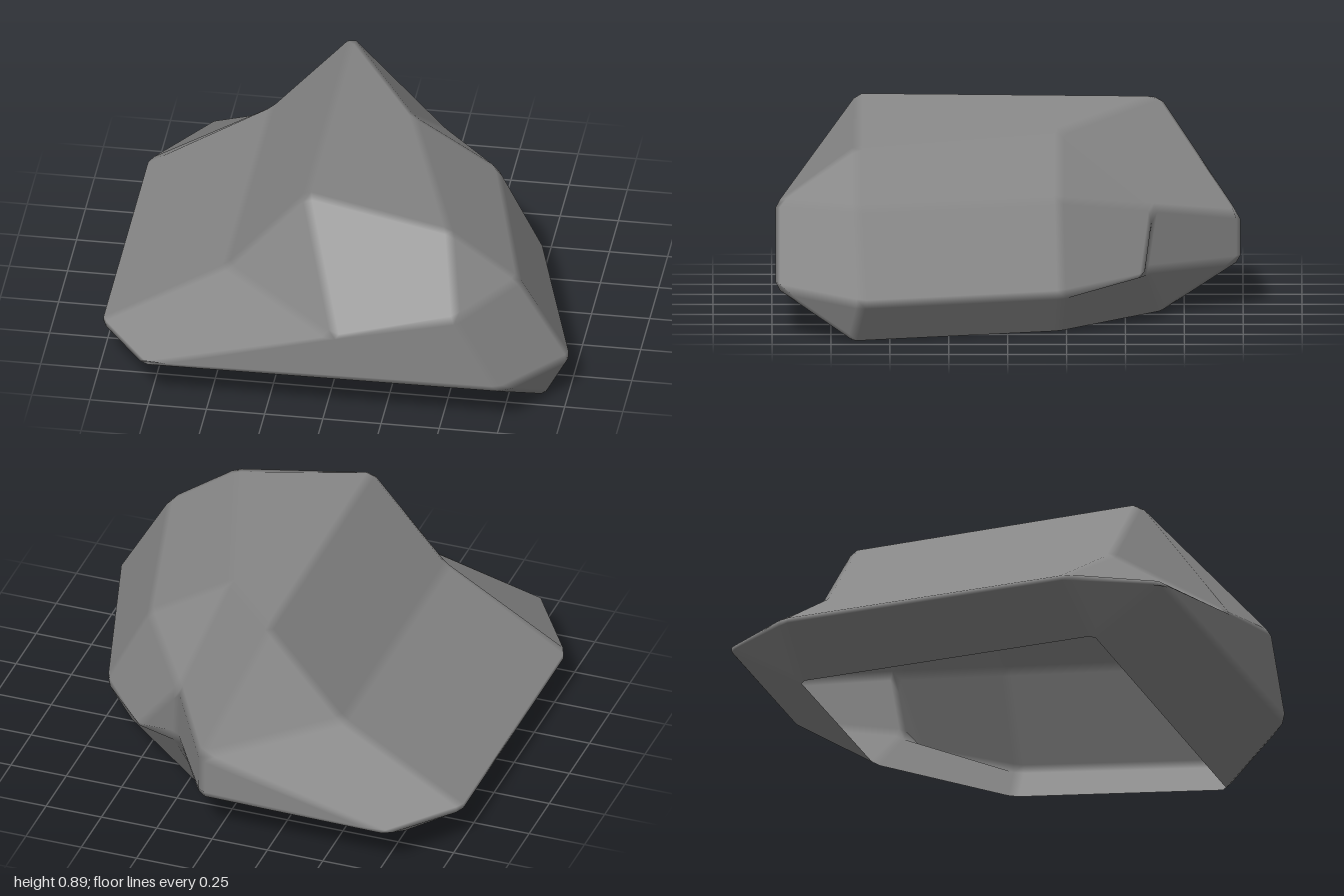
import * as THREE from 'three';

// Corner points of the boulder: f front, a/m/b cross-sections, k back, n/c/e notch, r rim
const P = {
  f0: [-0.78, 0.19, 0.985], f1: [0.05, 0.39, 0.985], f2: [0.57, 0.54, 0.985], f3: [0.76, 0.2, 0.985],
  a0: [-1.02, 0.165, 0.63], a1: [-0.47, 0.5, 0.64], a2: [-0.13, 0.895, 0.64], a3: [0.49, 0.765, 0.64],
  a4: [0.79, 0.55, 0.64], a5: [1.01, 0.17, 0.62], a6: [0.91, 0, 0.66], a7: [-0.74, 0, 0.66],
  m3: [0.2, 0.78, -0.22], m4: [0.57, 0.55, -0.22], m5: [0.76, 0.17, -0.23], m6: [0.66, 0, -0.22],
  b0: [-1.02, 0.165, -0.65], b1: [-0.47, 0.5, -0.66], b2: [-0.13, 0.885, -0.65], b7: [-0.74, 0, -0.67],
  k0: [-0.78, 0.19, -0.99], k1: [0.06, 0.4, -0.99], k2: [0.06, 0.2, -0.99],
  n: [0.29, 0.47, -0.62], c: [0.5, 0.2, -0.58], e: [0.31, 0.2, -0.58], r: [0.15, 0, -0.66],
};

// Facets, counter-clockwise from outside; the underside is open
const FACES = [
  'f0 f3 f2 f1', 'a0 f0 f1 a1', 'a1 f1 a2', 'a2 f1 f2 a3', 'a3 f2 a4', 'f2 f3 a5 a4', // front
  'f3 a6 a5', 'f0 a7 a6 f3', 'a0 a7 f0',                                             // front underside
  'a0 a1 b1 b0', 'a1 a2 b2 b1', 'a7 a0 b0 b7',                                       // long left slopes
  'a2 a3 m3 b2', 'a3 a4 m4 m3', 'a4 a5 m5 m4', 'a5 a6 m6 m5',                        // top and other side
  'b0 b1 k1 k0', 'b1 b2 k1', 'b2 m3 n k1', 'm3 m4 n', 'm4 m5 c n',                   // back slopes
  'k0 k1 k2', 'k1 n e k2', 'n c e',                                                  // back walls
  'b0 k0 b7', 'k0 k2 r b7', 'k2 e r', 'e c m5 m6 r',                                 // back underside
].map((s) => s.split(' '));

// Rounds every edge: facets are inset, then joined by edge strips and corner caps
function beveledShell(points, faces, width) {
  const V = Object.fromEntries(Object.entries(points).map(([k, p]) => [k, new THREE.Vector3(...p)]));
  const owner = new Map(); // directed edge -> face index
  faces.forEach((f, i) => f.forEach((v, j) => owner.set(`${v}>${f[(j + 1) % f.length]}`, i)));

  const positions = [], normals = [], index = [];
  const fan = (ids) => {
    for (let i = 1; i < ids.length - 1; i++) index.push(ids[0], ids[i], ids[i + 1]);
  };

  // Inset facets
  const corner = faces.map((f) => {
    const normal = new THREE.Vector3();
    f.forEach((v, j) => normal.add(V[v].clone().cross(V[f[(j + 1) % f.length]])));
    normal.normalize();
    const ids = {};
    f.forEach((v, j) => {
      const next = f[(j + 1) % f.length], prev = f[(j + f.length - 1) % f.length];
      const toPrev = V[prev].clone().sub(V[v]).normalize();
      const toNext = V[next].clone().sub(V[v]).normalize();
      const sin = Math.max(0.4, toPrev.clone().cross(toNext).length());
      const wNext = owner.has(`${next}>${v}`) ? width : 0; // open rim edges stay put
      const wPrev = owner.has(`${v}>${prev}`) ? width : 0;
      const p = V[v].clone().addScaledVector(toPrev, wNext / sin).addScaledVector(toNext, wPrev / sin);
      ids[v] = positions.length / 3;
      positions.push(p.x, p.y, p.z);
      normals.push(normal.x, normal.y, normal.z);
    });
    fan(f.map((v) => ids[v]));
    return ids;
  });

  // Edge strips
  for (const [key, i] of owner) {
    const [u, v] = key.split('>');
    const g = owner.get(`${v}>${u}`);
    if (g !== undefined && i < g) fan([corner[i][v], corner[i][u], corner[g][u], corner[g][v]]);
  }

  // Corner caps
  for (const v of Object.keys(V)) {
    const around = faces.map((f, i) => i).filter((i) => faces[i].includes(v));
    const near = (i, step) => {
      const f = faces[i];
      return f[(f.indexOf(v) + step + f.length) % f.length];
    };
    let i = around.find((k) => !owner.has(`${near(k, 1)}>${v}`)) ?? around[0];
    const ring = [];
    while (i !== undefined && !ring.includes(i)) {
      ring.push(i);
      i = owner.get(`${v}>${near(i, -1)}`);
    }
    fan(ring.map((k) => corner[k][v]));
  }

  const geometry = new THREE.BufferGeometry();
  geometry.setAttribute('position', new THREE.Float32BufferAttribute(positions, 3));
  geometry.setAttribute('normal', new THREE.Float32BufferAttribute(normals, 3));
  geometry.setIndex(index);
  return geometry;
}

export function createModel() {
  const stone = new THREE.MeshStandardMaterial({ color: 0x868686, side: THREE.DoubleSide });
  stone.name = 'grey stone';

  const boulder = new THREE.Mesh(beveledShell(P, FACES, 0.022), stone);
  boulder.name = 'boulder';

  const group = new THREE.Group();
  group.name = 'rock';
  group.add(boulder);
  return group;
}
